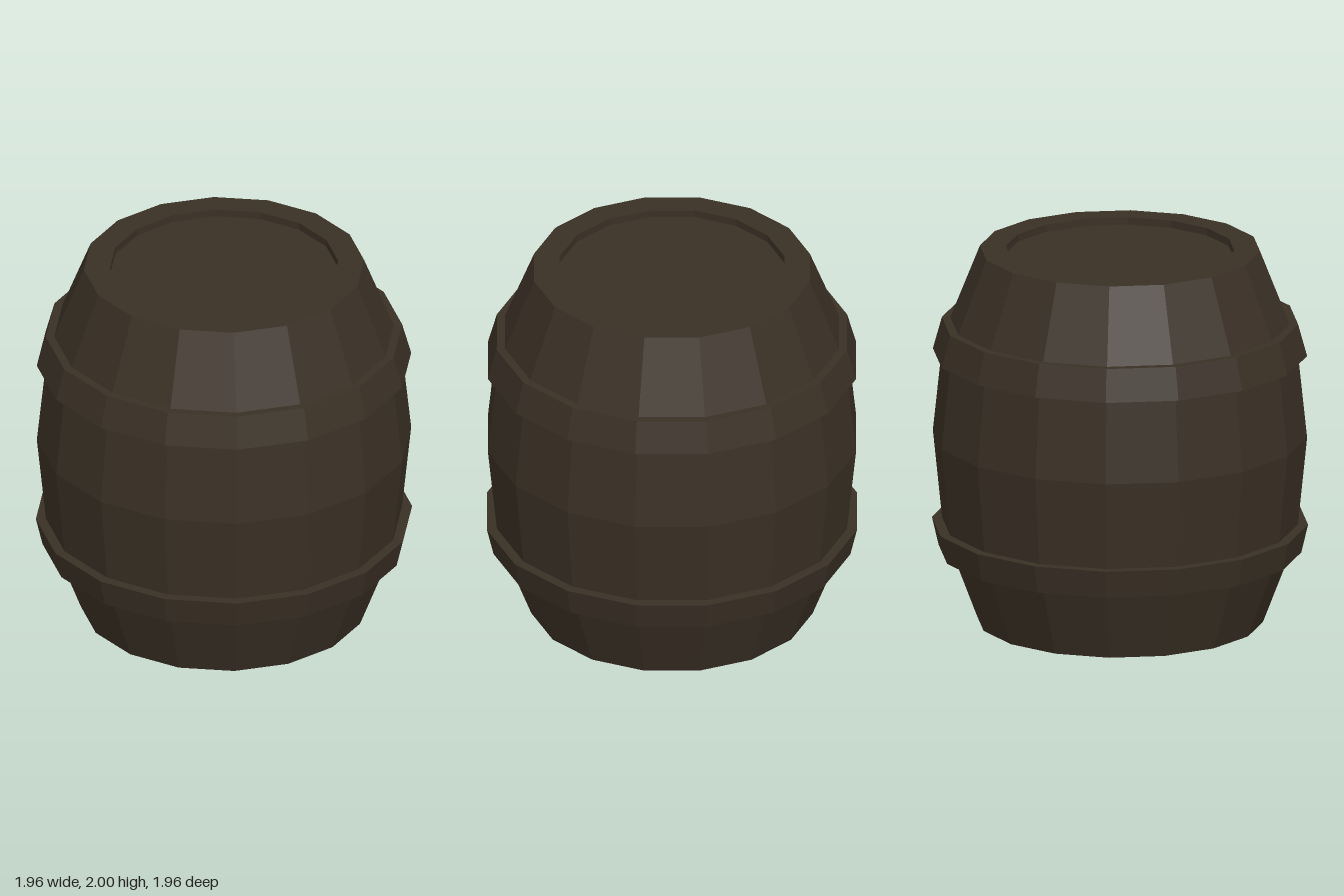
import * as THREE from 'three';

const SIDES = 16;

// Faceted solid of revolution from [radius, height] points, listed bottom to top on the outside
function turned(name, profile, material) {
  const points = profile.map(([r, y]) => new THREE.Vector2(r, y));
  const geometry = new THREE.LatheGeometry(points, SIDES).toNonIndexed();
  geometry.computeVertexNormals();
  const mesh = new THREE.Mesh(geometry, material);
  mesh.name = name;
  return mesh;
}

export function createModel() {
  const barrel = new THREE.Group();
  barrel.name = 'barrel';
  const wood = new THREE.MeshStandardMaterial({ color: 0x3a3025 });
  wood.name = 'dark wood';

  // Bulging staves with a flat rim and short inner wall at each end
  barrel.add(turned('staves', [
    [0.595, 0.035], [0.595, 0], [0.745, 0], [0.92, 0.46], [0.975, 1],
    [0.92, 1.52], [0.73, 2], [0.595, 2], [0.595, 1.96],
  ], wood));

  // Recessed heads
  barrel.add(turned('bottomHead', [[0, 0.035], [0.595, 0.035]], wood));
  barrel.add(turned('topHead', [[0.595, 1.96], [0, 1.96]], wood));

  // Flared hoops
  barrel.add(turned('lowerHoop', [
    [0.86, 0.38], [0.945, 0.38], [0.98, 0.53], [0.88, 0.53],
  ], wood));
  barrel.add(turned('upperHoop', [
    [0.88, 1.44], [0.975, 1.44], [0.928, 1.61], [0.86, 1.61],
  ], wood));

  return barrel;
}
